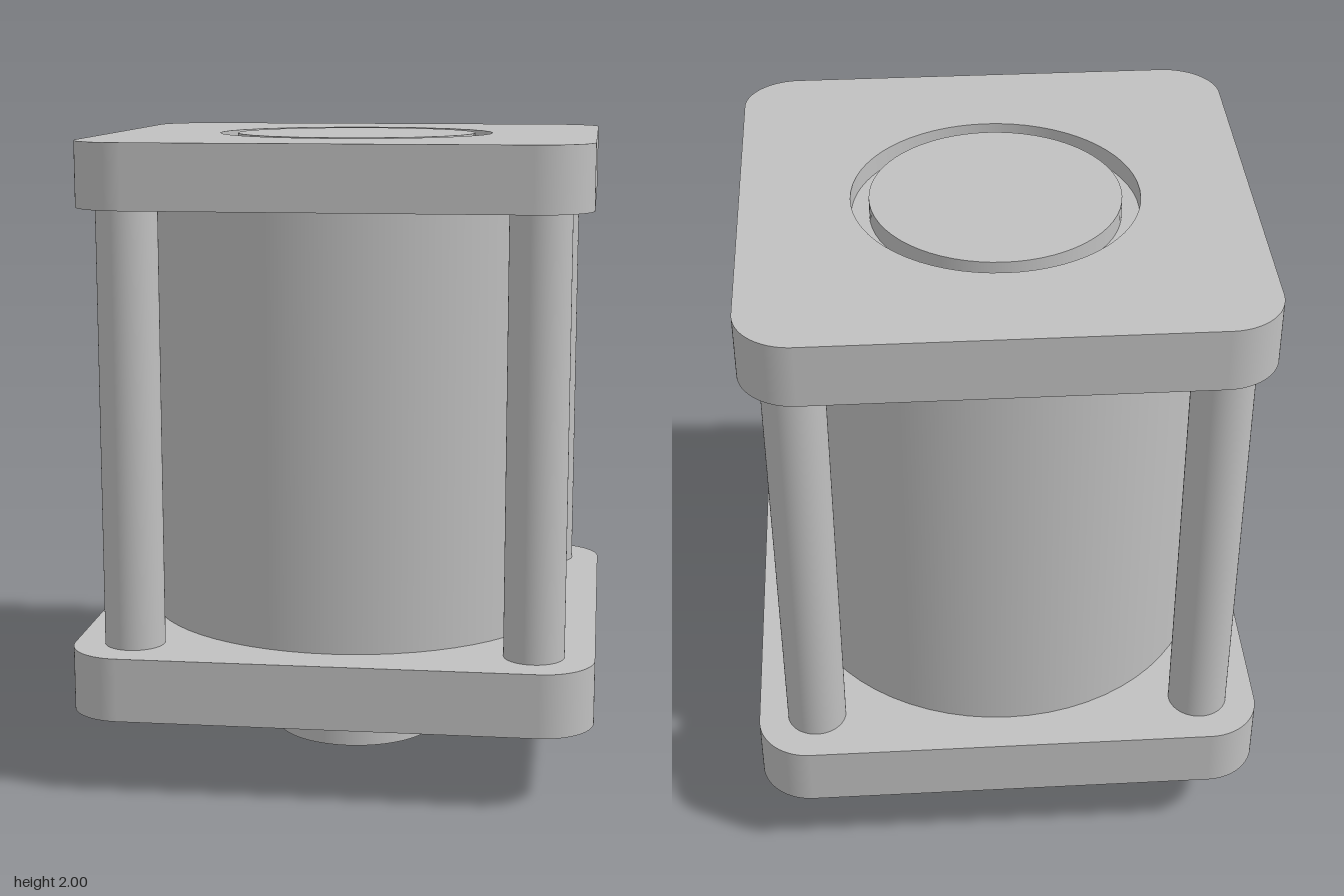
import * as THREE from 'three';

const metal = new THREE.MeshStandardMaterial({ color: 0xc0c0c0 });
metal.name = 'grey metal';

function add(group, name, geometry, x = 0, y = 0, z = 0) {
  const mesh = new THREE.Mesh(geometry, metal);
  mesh.name = name;
  mesh.position.set(x, y, z);
  group.add(mesh);
}

// Upright round bar between two heights
function bar(group, name, radius, y0, y1, x = 0, z = 0) {
  add(group, name, new THREE.CylinderGeometry(radius, radius, y1 - y0, 64), x, (y0 + y1) / 2, z);
}

// Flat square slab with rounded corners and an optional round hole
function slab(half, corner, height, hole = 0) {
  const c = half - corner;
  const shape = new THREE.Shape();
  shape.absarc(c, c, corner, 0, Math.PI / 2);
  shape.absarc(-c, c, corner, Math.PI / 2, Math.PI);
  shape.absarc(-c, -c, corner, Math.PI, Math.PI * 1.5);
  shape.absarc(c, -c, corner, Math.PI * 1.5, Math.PI * 2);
  shape.closePath();
  if (hole) shape.holes.push(new THREE.Path().absarc(0, 0, hole, 0, Math.PI * 2, true));
  const geometry = new THREE.ExtrudeGeometry(shape, { depth: height, bevelEnabled: false, curveSegments: 32 });
  geometry.rotateX(-Math.PI / 2);
  // Smooth the rounded walls: normals follow the corner arcs
  const p = geometry.attributes.position, n = geometry.attributes.normal;
  for (let i = 0; i < p.count; i++) {
    if (Math.abs(n.getY(i)) > 0.5) continue;
    const x = p.getX(i), z = p.getZ(i), r = Math.hypot(x, z);
    if (hole && r < hole + 0.01) {
      n.setXYZ(i, -x / r, 0, -z / r);
    } else {
      const dx = Math.sign(x) * Math.max(Math.abs(x) - c, 0);
      const dz = Math.sign(z) * Math.max(Math.abs(z) - c, 0);
      const d = Math.hypot(dx, dz);
      n.setXYZ(i, dx / d, 0, dz / d);
    }
  }
  return geometry;
}

export function createModel() {
  const group = new THREE.Group();
  group.name = 'cylinderAssembly';
  const grooveFloor = 1.94;

  // Shaft, lower plate and barrel
  bar(group, 'shaft', 0.268, 0, 0.24);
  add(group, 'lowerPlate', slab(0.81, 0.165, 0.2), 0, 0.24, 0);
  bar(group, 'barrel', 0.68, 0.44, 1.8);

  // Four corner rods
  for (const x of [-1, 1]) {
    for (const z of [-1, 1]) bar(group, 'cornerRod', 0.094, 0.44, 1.8, x * 0.623, z * 0.623);
  }

  // Upper plate with a ring groove around a flush disc
  add(group, 'upperPlateBase', slab(0.78, 0.175, grooveFloor - 1.8), 0, 1.8, 0);
  add(group, 'upperPlateRim', slab(0.78, 0.175, 2 - grooveFloor, 0.442), 0, grooveFloor, 0);
  bar(group, 'centreDisc', 0.386, grooveFloor, 2);
  return group;
}
